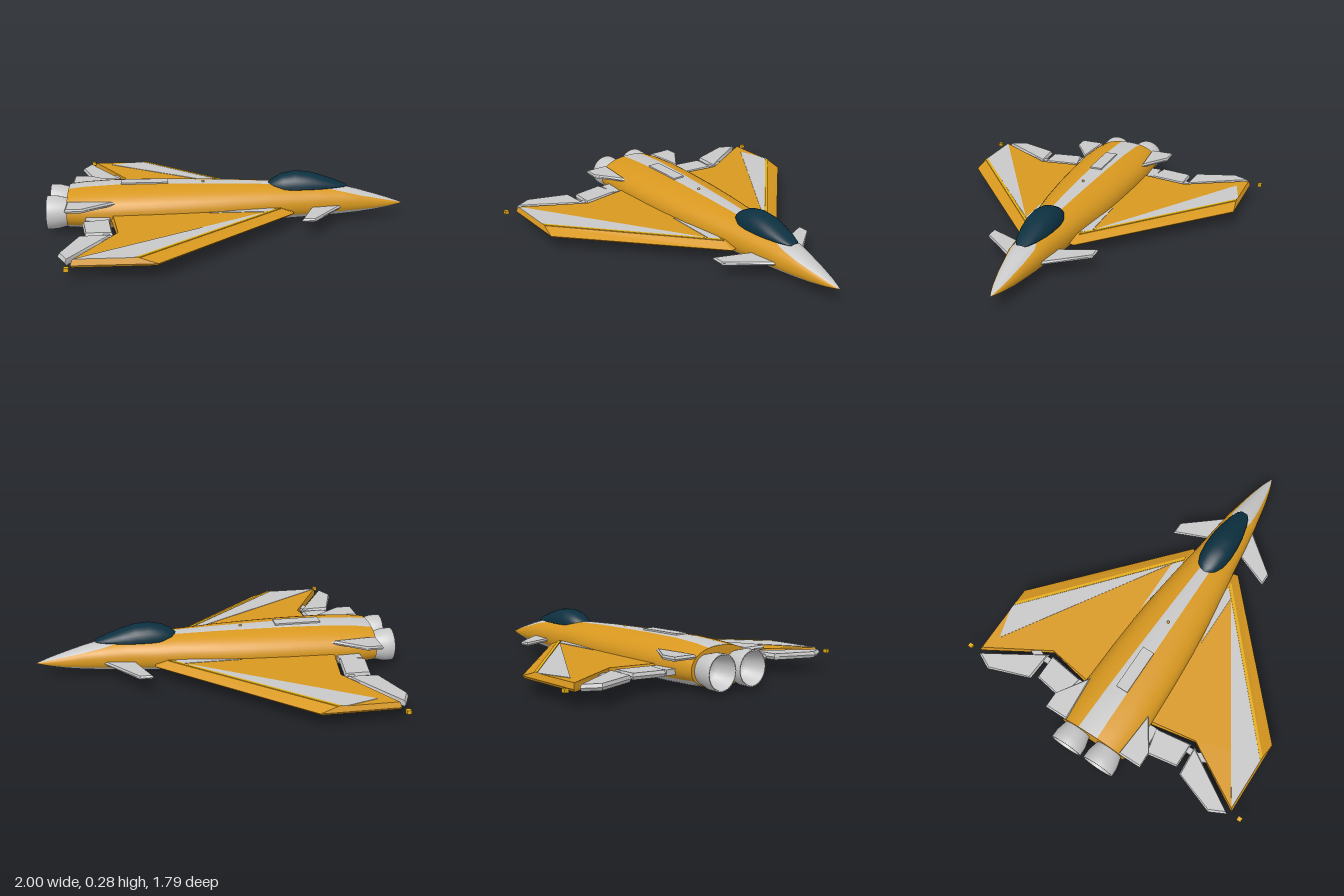
import * as THREE from 'three';

const paint = (name, color) => Object.assign(new THREE.MeshStandardMaterial({ color }), { name });

export function createModel() {
  const jet = new THREE.Group();
  jet.name = 'jet';
  const orange = paint('orange', 0xd8981f);
  const grey = paint('light grey', 0xc8c8c8);
  const yellow = paint('trim yellow', 0xe2ac16);
  const glass = paint('canopy glass', 0x0c3040);

  const add = (name, geo, mat, x = 0, y = 0, z = 0) => {
    const m = new THREE.Mesh(geo, mat);
    m.name = name;
    m.position.set(x, y, z);
    jet.add(m);
    return m;
  };

  // Point on a rounded cross-section: a = angle, n = squareness
  const N = 2.2;
  const pw = (v) => Math.sign(v) * Math.abs(v) ** (2 / N);
  const section = (s, a) => {
    const c = Math.cos(a), n = Math.sin(a);
    return [s.x, s.m + pw(n) * (n > 0 ? s.t - s.m : s.m - s.b), s.w * pw(c)];
  };

  // Skin stations along x; cuts(s) gives the angles where colours change
  function loft(stations, cuts, steps) {
    const pos = [], idx = [], geo = new THREE.BufferGeometry();
    const row = steps.reduce((a, b) => a + b, 0) + 1;
    for (const s of stations) {
      const c = cuts(s);
      pos.push(...section(s, c[0]));
      steps.forEach((n, k) => {
        for (let i = 1; i <= n; i++) pos.push(...section(s, c[k] + (c[k + 1] - c[k]) * i / n));
      });
    }
    let col = 0;
    steps.forEach((n, k) => {
      const start = idx.length;
      for (let j = col; j < col + n; j++) {
        for (let i = 0; i < stations.length - 1; i++) {
          const a = i * row + j, b = a + row;
          idx.push(a, b, a + 1, b, b + 1, a + 1);
        }
      }
      geo.addGroup(start, idx.length - start, k);
      col += n;
    });
    geo.setAttribute('position', new THREE.Float32BufferAttribute(pos, 3));
    geo.setIndex(idx);
    geo.computeVertexNormals();
    return geo;
  }

  // Stack of matching x-z outlines at given heights, with flat faces; side -1 mirrors in z
  function slab(layers, side = 1) {
    const loops = layers.map(([pts]) => pts.map(([x, z]) => new THREE.Vector2(x, z * side)));
    if (THREE.ShapeUtils.area(loops[0]) < 0) loops.forEach((l) => l.reverse());
    const pos = [], n = loops[0].length, last = loops.length - 1;
    const put = (k, i) => pos.push(loops[k][i % n].x, layers[k][1], loops[k][i % n].y);
    for (const [a, b, c] of THREE.ShapeUtils.triangulateShape(loops[0], [])) [a, b, c].forEach((i) => put(0, i));
    for (const [a, b, c] of THREE.ShapeUtils.triangulateShape(loops[last], [])) [a, c, b].forEach((i) => put(last, i));
    for (let k = 0; k < last; k++) {
      for (let i = 0; i < n; i++) {
        put(k, i); put(k + 1, i); put(k + 1, i + 1);
        put(k, i); put(k + 1, i + 1); put(k, i + 1);
      }
    }
    const geo = new THREE.BufferGeometry();
    geo.setAttribute('position', new THREE.Float32BufferAttribute(pos, 3));
    geo.computeVertexNormals();
    return geo;
  }
  const plate = (pts, y0, y1, side) => slab([[pts, y0], [pts, y1]], side);

  // Thin fin: rim at mid height, faces drawn in slightly toward the centre
  function fin(pts, y0, y1, side) {
    const cx = pts.reduce((a, p) => a + p[0], 0) / pts.length;
    const cz = pts.reduce((a, p) => a + p[1], 0) / pts.length;
    const inner = pts.map(([x, z]) => [cx + (x - cx) * 0.9, cz + (z - cz) * 0.94]);
    return slab([[inner, y0], [pts, (y0 + y1) / 2], [inner, y1]], side);
  }

  // Fuselage: x, half width, top, bottom, stripe edge at +z, stripe edge at -z
  const hull = [
    [-0.89, 0.2, 0.225, 0.015, 0.035, 0.085], [-0.8, 0.21, 0.235, 0.009, 0.035, 0.08],
    [-0.64, 0.217, 0.243, 0.005, 0.035, 0.073], [-0.4, 0.208, 0.244, 0.006, 0.034, 0.062],
    [-0.2, 0.196, 0.241, 0.01, 0.033, 0.052], [0, 0.177, 0.237, 0.014, 0.032, 0.042],
    [0.22, 0.148, 0.229, 0.021, 0.03, 0.03], [0.35, 0.129, 0.217, 0.025, 0.03, 0.03],
    [0.5, 0.11, 0.208, 0.031, 0.03, 0.03], [0.64, 0.09, 0.2, 0.039, 0.06, 0.062],
    [0.74, 0.071, 0.175, 0.047, 0.053, 0.053], [0.83, 0.054, 0.148, 0.058, 0.04, 0.04],
    [0.92, 0.031, 0.12, 0.073, 0.023, 0.023], [0.97, 0.014, 0.102, 0.084, 0.01, 0.01],
    [1, 0.001, 0.092, 0.09, 0.0006, 0.0006],
  ].map(([x, w, t, b, l, r]) => ({ x, w, t, b, l, r, m: b + (t - b) * 0.48 }));
  const cuts = (s) => {
    const belly = Math.asin((1 - 0.23 / 0.48) ** (N / 2));
    const left = Math.acos((s.l / s.w) ** (N / 2)), right = Math.acos((s.r / s.w) ** (N / 2));
    return [-belly, left, Math.PI - right, Math.PI + belly, 2 * Math.PI - belly];
  };
  add('fuselage', loft(hull, cuts, [12, 6, 12, 14]), [orange, grey, orange, grey]);

  // Flat rear bulkhead
  const rim = [];
  for (let i = 0; i < 48; i++) {
    const p = section(hull[0], i / 48 * Math.PI * 2);
    rim.push(new THREE.Vector2(p[2], p[1]));
  }
  add('rearBulkhead', new THREE.ShapeGeometry(new THREE.Shape(rim)).rotateY(-Math.PI / 2), orange, -0.89);

  // Canopy
  const dome = [
    [0.215, 0.004, 0.222], [0.225, 0.03, 0.23], [0.25, 0.056, 0.25], [0.3, 0.076, 0.276], [0.37, 0.086, 0.29],
    [0.45, 0.084, 0.284], [0.52, 0.075, 0.264], [0.6, 0.056, 0.235], [0.65, 0.036, 0.214], [0.667, 0.02, 0.206],
  ].map(([x, w, t]) => ({ x, w, t, b: 0.2, m: 0.204 }));
  add('canopy', loft(dome, () => [0, Math.PI * 2], [32]), [glass]);

  // Spine fairing and beacon
  add('spineFairing', new THREE.BoxGeometry(0.26, 0.03, 0.07), grey, -0.47, 0.236, 0);
  add('beacon', new THREE.SphereGeometry(0.008, 10, 8), orange, -0.145, 0.241, 0);

  // Wing outlines: rim and upper plateau
  const wingRim = [[-0.81, 0.83], [-0.39, 0.83], [0.355, 0.155], [0.34, 0.08], [-0.65, 0.1], [-0.65, 0.21], [-0.6, 0.47]];
  const wingTop = [[-0.8, 0.82], [-0.48, 0.82], [0.28, 0.155], [0.27, 0.08], [-0.64, 0.1], [-0.64, 0.21], [-0.6, 0.47]];
  const wingLow = [[-0.805, 0.82], [-0.4, 0.82], [0.33, 0.155], [0.32, 0.08], [-0.645, 0.1], [-0.645, 0.21], [-0.6, 0.47]];
  const stripes = {
    1: [[-0.8, 0.82], [-0.505, 0.82], [0.2, 0.2]],
    '-1': [[-0.7, 0.77], [-0.53, 0.82], [-0.505, 0.82], [0.2, 0.2]],
  };
  const nozzle = [[0.07, 0], [0.078, 0.025], [0.092, 0.08], [0.093, 0.13], [0.084, 0.13], [0.06, 0.03], [0, 0.03]]
    .map(([r, y]) => new THREE.Vector2(r, y));
  const greyOpen = grey;
  greyOpen.side = THREE.DoubleSide;

  for (const s of [1, -1]) {
    const tag = s > 0 ? 'Near' : 'Far';
    // Wing with painted bands
    add('wing' + tag, slab([[wingLow, 0.08], [wingRim, 0.094], [wingTop, 0.122]], s), orange);
    add('wingStripe' + tag, plate(stripes[s], 0.12, 0.1245, s), grey);
    add('wingRootPatch' + tag, plate([[-0.12, 0.2], [0.2, 0.2], [0.25, 0.155], [0.2, 0.14]], 0.12, 0.1245, s), grey);
    add('wingTrim' + tag, plate([[-0.505, 0.82], [-0.48, 0.82], [0.28, 0.155], [0.255, 0.155]], 0.12, 0.126, s), yellow);
    // Trailing-edge flaps and hinges
    add('innerFlap' + tag, fin([[-0.77, 0.46], [-0.625, 0.46], [-0.655, 0.25], [-0.8, 0.28]], 0.085, 0.118, s), grey);
    add('outerFlap' + tag, fin([[-0.835, 0.815], [-0.88, 0.725], [-0.795, 0.49], [-0.625, 0.48]], 0.085, 0.118, s), grey);
    add('flapHinge' + tag, new THREE.BoxGeometry(0.035, 0.02, 0.06), grey, -0.66, 0.1, 0.475 * s);
    add('flapArm' + tag, new THREE.BoxGeometry(0.05, 0.02, 0.1), grey, -0.655, 0.1, 0.545 * s).rotation.y = 0.45 * s;
    add('flapRootBlock' + tag, new THREE.BoxGeometry(0.13, 0.03, 0.08), grey, -0.72, 0.1, 0.225 * s);
    // Tail strake and canard
    add('tailStrake' + tag, fin([[-0.89, 0.305], [-0.8, 0.305], [-0.625, 0.19], [-0.89, 0.17]], 0.172, 0.194, s), grey);
    add('canard' + tag, fin([[0.375, 0.305], [0.445, 0.305], [0.635, 0.08], [0.47, 0.08]], 0.092, 0.112, s), grey);
    // Wing-tip light
    add('tipLight' + tag, new THREE.BoxGeometry(0.024, 0.02, 0.024), yellow, -0.822, 0.1, 0.885 * s);
    // Engine nozzle
    add('nozzle' + tag, new THREE.LatheGeometry(nozzle, 32).rotateZ(Math.PI / 2), greyOpen, -0.87, 0.113, 0.103 * s);
  }
  return jet;
}
